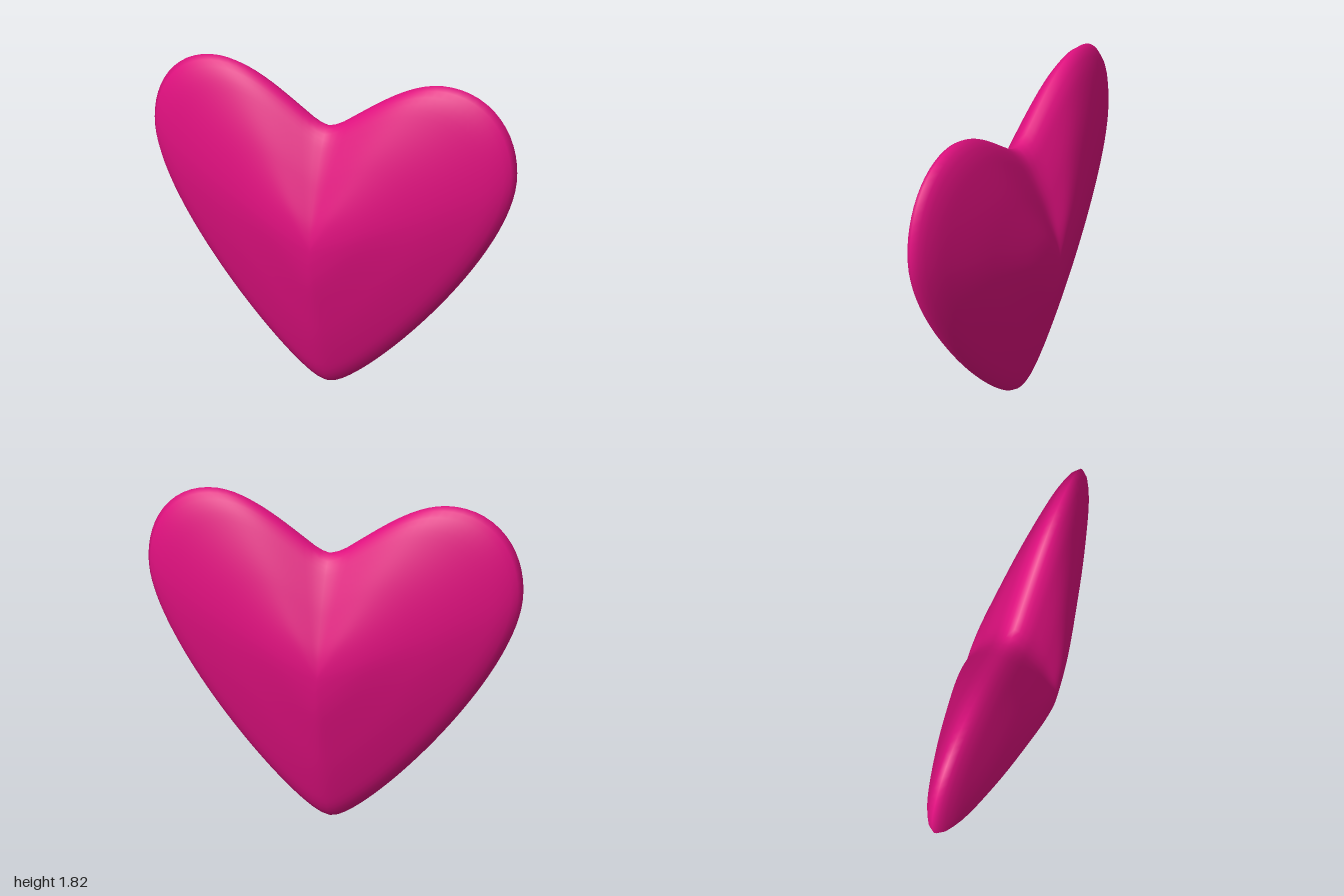
import * as THREE from 'three';

// Closed heart outline, counter-clockwise, starting at the bottom tip
function heartOutline(steps) {
  const half = new THREE.Path();
  half.moveTo(0, 0);
  half.quadraticCurveTo(0.035, 0.002, 0.08, 0.03);
  half.bezierCurveTo(0.35, 0.2, 1, 0.98, 1, 1.39);
  half.bezierCurveTo(1, 1.63, 0.85, 1.818, 0.62, 1.818);
  half.bezierCurveTo(0.44, 1.818, 0.27, 1.68, 0.08, 1.55);
  half.quadraticCurveTo(0.035, 1.525, 0, 1.52);
  const right = half.getSpacedPoints(steps);
  const left = right.slice(1, -1).reverse().map(p => new THREE.Vector2(-p.x, p.y));
  return [...right, ...left];
}

// Puffed solid: the outline shrinks towards the centre as the depth grows
function puffedGeometry(outline, centreY, rings) {
  // (scale of outline, depth) from the front peak to the rim
  const profile = new THREE.SplineCurve([
    [0, 0.255], [0.1, 0.25], [0.25, 0.23], [0.5, 0.178], [0.65, 0.143],
    [0.8, 0.102], [0.9, 0.07], [0.965, 0.038], [0.992, 0.016], [1, 0],
  ].map(([s, z]) => new THREE.Vector2(s, z)));
  const front = profile.getSpacedPoints(rings).slice(1);
  const back = front.slice(0, -1).reverse().map(p => new THREE.Vector2(p.x, -p.y));
  const sections = [...front, ...back];

  const n = outline.length;
  const positions = [0, centreY, 0.255];
  for (const s of sections) {
    for (const p of outline) positions.push(p.x * s.x, centreY + (p.y - centreY) * s.x, s.y);
  }
  positions.push(0, centreY, -0.255);

  const last = positions.length / 3 - 1;
  const lastRing = 1 + (sections.length - 1) * n;
  const index = [];
  for (let i = 0; i < n; i++) {
    const j = (i + 1) % n;
    index.push(0, 1 + i, 1 + j);
    for (let r = 0; r < sections.length - 1; r++) {
      const a = 1 + r * n, b = a + n;
      index.push(a + i, b + i, b + j, a + i, b + j, a + j);
    }
    index.push(last, lastRing + j, lastRing + i);
  }

  const geometry = new THREE.BufferGeometry();
  geometry.setAttribute('position', new THREE.Float32BufferAttribute(positions, 3));
  geometry.setIndex(index);
  geometry.computeVertexNormals();
  return geometry;
}

export function createModel() {
  const group = new THREE.Group();
  const material = new THREE.MeshStandardMaterial({ color: 0xe0107f });
  const heart = new THREE.Mesh(puffedGeometry(heartOutline(64), 0.92, 28), material);
  heart.name = 'heart';
  group.add(heart);
  return group;
}
